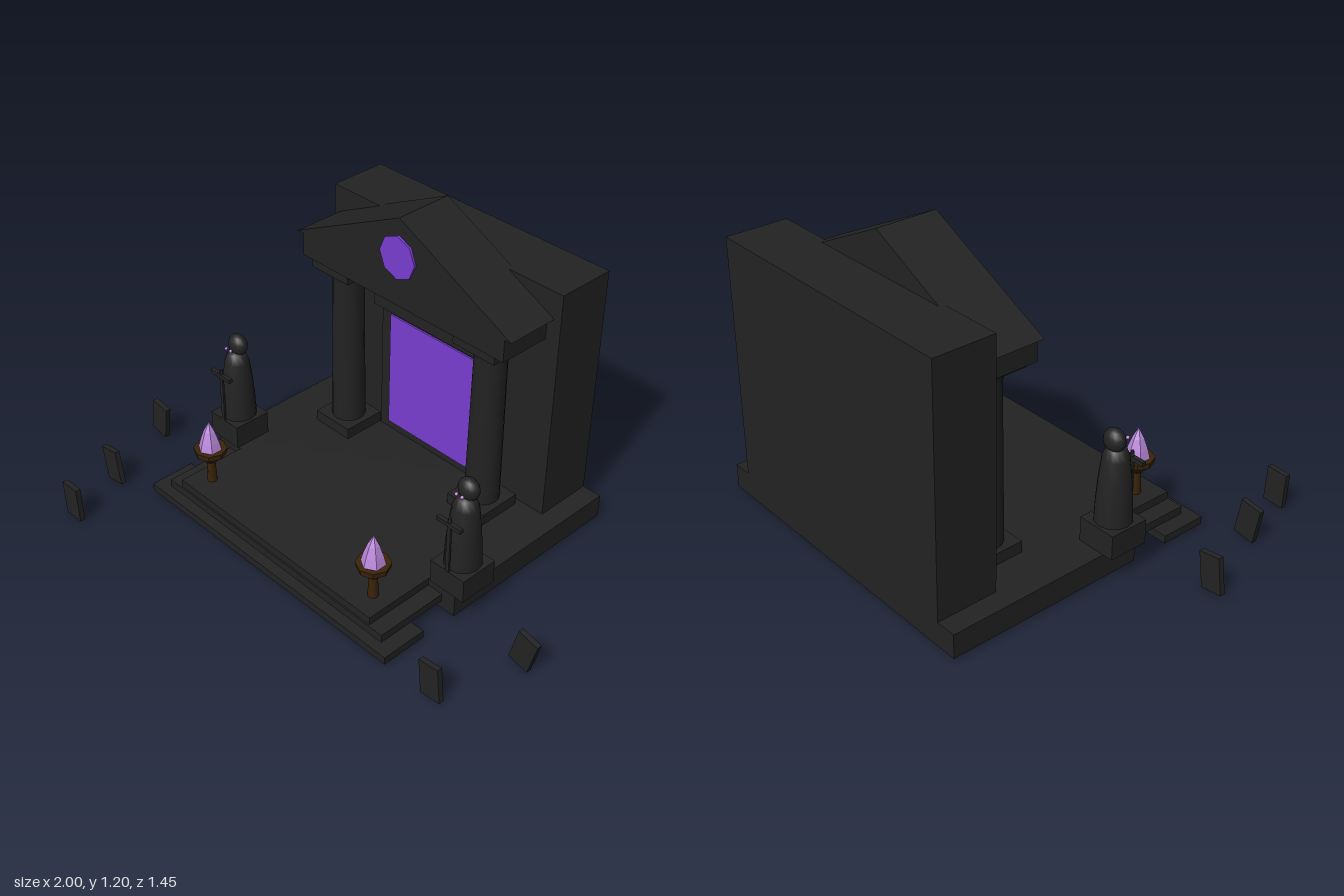
import * as THREE from 'three';

const mat = (name, color) => Object.assign(new THREE.MeshStandardMaterial({ color }), { name });

export function createModel() {
  const stone = mat('darkStone', 0x232323);
  const purple = mat('purpleGlow', 0x7a3dd0);
  const lilac = mat('lilacFlame', 0xbd8ade);
  const bronze = mat('darkBronze', 0x3a2409);

  const model = new THREE.Group();
  model.name = 'temple';
  const CX = -0.027; // the temple's own centre line

  const add = (parent, name, geometry, material, x = 0, y = 0, z = 0) => {
    const mesh = new THREE.Mesh(geometry, material);
    mesh.name = name;
    mesh.position.set(x, y, z);
    parent.add(mesh);
    return mesh;
  };
  // box given by centre x, width, and its y and z ranges
  const block = (parent, name, material, x, w, y0, y1, z0, z1) =>
    add(parent, name, new THREE.BoxGeometry(w, y1 - y0, z1 - z0), material, x, (y0 + y1) / 2, (z0 + z1) / 2);
  const lathe = (points, sides) =>
    new THREE.LatheGeometry(points.map(([r, y]) => new THREE.Vector2(r, y)), sides);
  const faceted = (geometry) => {
    const g = geometry.toNonIndexed();
    g.computeVertexNormals();
    return g;
  };

  // platform and steps
  block(model, 'platform', stone, CX, 1.28, 0.014, 0.109, -0.73, 0.068);
  block(model, 'lowerStep', stone, CX, 1.28, 0.014, 0.045, 0.22, 0.407);
  block(model, 'middleStep', stone, CX, 1.16, 0.045, 0.077, 0.06, 0.364);
  block(model, 'upperStep', stone, CX, 1.03, 0.077, 0.109, 0.06, 0.358);

  // rear wall, doorway and glowing portal
  block(model, 'rearWall', stone, CX, 1.12, 0.109, 1.055, -0.73, -0.488);
  block(model, 'doorFrame', stone, CX, 0.53, 0.109, 0.665, -0.49, -0.461);
  block(model, 'lintel', stone, CX, 0.58, 0.665, 0.742, -0.49, -0.438);
  block(model, 'portal', purple, CX, 0.433, 0.143, 0.642, -0.461, -0.454);

  // entablature, gable and round window
  block(model, 'entablature', stone, CX, 1.0, 0.857, 0.951, -0.488, -0.27);
  const gable = new THREE.Shape([
    new THREE.Vector2(-0.53, 0.949), new THREE.Vector2(0.53, 0.949), new THREE.Vector2(0, 1.21),
  ]);
  add(model, 'gable', new THREE.ExtrudeGeometry(gable, { depth: 0.24, bevelEnabled: false }), stone, CX, 0, -0.509);
  const windowDisc = new THREE.CylinderGeometry(0.086, 0.086, 0.009, 8).rotateX(Math.PI / 2);
  add(model, 'roundWindow', windowDisc, purple, CX, 1.056, -0.2645);

  // columns
  for (const side of [-1, 1]) {
    const column = new THREE.Group();
    column.name = side > 0 ? 'leftColumn' : 'rightColumn';
    column.position.set(CX + side * 0.361, 0, -0.372);
    block(column, 'columnBase', stone, 0, 0.18, 0.109, 0.154, -0.09, 0.09);
    const shaft = lathe([[0.067, 0.154], [0.061, 0.775], [0.077, 0.815], [0.077, 0.824]], 16);
    add(column, 'columnShaft', shaft, stone);
    block(column, 'capital', stone, 0, 0.193, 0.823, 0.858, -0.0965, 0.0965);
    model.add(column);
  }

  // hooded guardians with swords
  for (const side of [-1, 1]) {
    const guardian = new THREE.Group();
    guardian.name = side > 0 ? 'leftGuardian' : 'rightGuardian';
    guardian.position.set(CX + side * 0.603, 0, -0.006);
    block(guardian, 'pedestal', stone, 0, 0.156, 0.109, 0.204, -0.079, 0.079);
    const robe = lathe([[0.069, 0.204], [0.066, 0.28], [0.059, 0.37], [0.049, 0.45], [0.034, 0.488], [0, 0.495]], 12);
    add(guardian, 'robe', robe, stone);
    add(guardian, 'hood', new THREE.SphereGeometry(0.044, 14, 10), stone, 0, 0.519, -0.01).scale.z = 0.75;
    for (const s of [-1, 1]) {
      add(guardian, 'eye', new THREE.SphereGeometry(0.007, 6, 5), lilac, s * 0.013, 0.515, 0.038);
    }
    add(guardian, 'swordBlade', new THREE.BoxGeometry(0.016, 0.21, 0.008), stone, 0, 0.309, 0.078);
    add(guardian, 'swordGuard', new THREE.BoxGeometry(0.11, 0.016, 0.016), stone, 0, 0.414, 0.078);
    add(guardian, 'swordGrip', new THREE.CylinderGeometry(0.006, 0.008, 0.03, 6), stone, 0, 0.427, 0.078);
    model.add(guardian);
  }

  // braziers with crystal-like flames
  for (const side of [-1, 1]) {
    const brazier = new THREE.Group();
    brazier.name = side > 0 ? 'leftBrazier' : 'rightBrazier';
    brazier.position.set(CX + side * 0.441, 0, 0.269);
    add(brazier, 'stem', new THREE.CylinderGeometry(0.015, 0.02, 0.11, 8), bronze, 0, 0.162, 0);
    const bowl = lathe([[0, 0.198], [0.024, 0.202], [0.04, 0.222], [0.06, 0.236], [0.064, 0.26], [0, 0.26]], 8);
    add(brazier, 'bowl', faceted(bowl), bronze);
    const flame = lathe([[0.046, 0.26], [0.037, 0.295], [0.022, 0.338], [0, 0.38]], 6);
    add(brazier, 'flame', faceted(flame), lilac);
    model.add(brazier);
  }

  // leaning slabs around the steps: x, z, tilt
  const slabs = [
    [-0.947, 0.15, -0.14], [-0.828, 0.472, 0.17], [-0.75, 0.714, 0.05],
    [0.815, 0.394, 0.1], [0.937, 0.07, -0.25],
  ];
  for (const [x, z, tilt] of slabs) {
    add(model, 'slab', new THREE.BoxGeometry(0.086, 0.142, 0.021), stone, x, 0.085, z).rotation.z = tilt;
  }

  return model;
}
